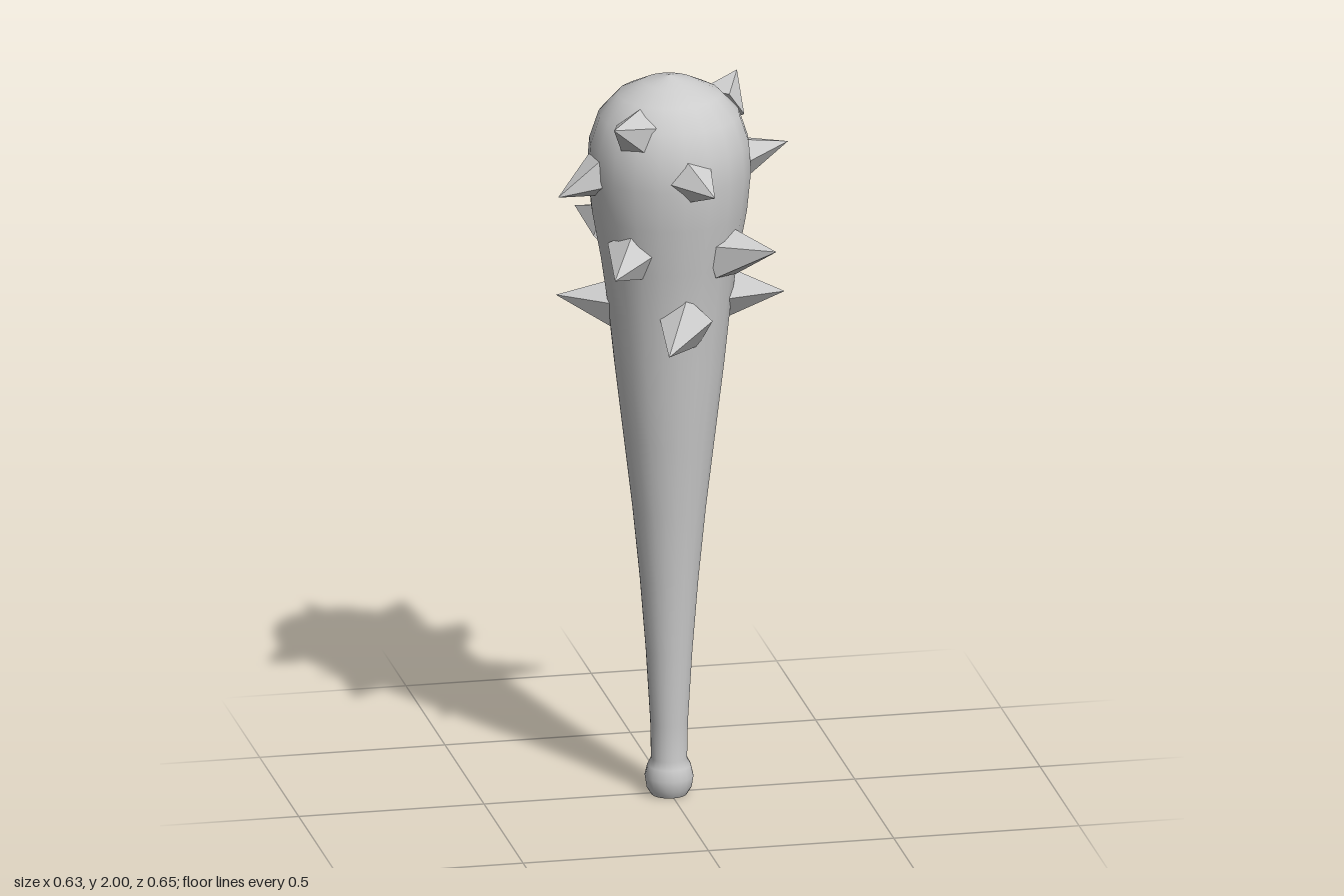
import * as THREE from 'three';

export function createModel() {
  const club = new THREE.Group();
  club.name = 'spikedClub';
  const smooth = new THREE.MeshStandardMaterial({ color: 0xcccccc });
  const faceted = new THREE.MeshStandardMaterial({ color: 0xcccccc, flatShading: true });

  // Turned body: pommel, thin grip, swelling head with rounded top
  const profile = [
    [0.048, 0], [0.06, 0.02], [0.065, 0.05], [0.058, 0.08], [0.048, 0.1], [0.05, 0.2],
    [0.062, 0.4], [0.078, 0.6], [0.098, 0.8], [0.122, 1.0], [0.146, 1.2], [0.163, 1.36],
    [0.183, 1.5], [0.207, 1.63], [0.218, 1.74], [0.212, 1.82], [0.187, 1.895],
    [0.137, 1.95], [0.07, 1.983], [0, 2],
  ].map(([r, y]) => new THREE.Vector2(r, y));
  const body = new THREE.Mesh(new THREE.LatheGeometry(profile, 20), smooth);
  body.name = 'body';
  body.position.set(-0.003, 0, 0.01);
  club.add(body);

  // Flat underside of the pommel
  const base = new THREE.Mesh(new THREE.CircleGeometry(0.048, 20), smooth);
  base.name = 'pommelBase';
  base.rotation.x = Math.PI / 2;
  base.position.copy(body.position);
  club.add(base);

  // Five-sided spikes: [base centre, tip, base radius]
  const spikes = [
    // crown pair
    [[-0.12, 1.885, 0.14], [-0.198, 1.93, 0.23], 0.062],
    [[0.165, 1.885, -0.1], [0.217, 1.942, -0.165], 0.058],
    // upper ring
    [[0.205, 1.77, 0.02], [0.314, 1.8, 0.03], 0.052],
    [[0.025, 1.765, 0.22], [0.055, 1.755, 0.325], 0.055],
    [[-0.21, 1.74, 0.045], [-0.316, 1.7, 0.073], 0.055],
    [[-0.045, 1.765, -0.19], [-0.094, 1.78, -0.33], 0.063],
    // middle ring, on the diagonals
    [[0.135, 1.54, 0.14], [0.237, 1.567, 0.245], 0.07],
    [[-0.135, 1.54, 0.145], [-0.2, 1.518, 0.253], 0.065],
    [[0.14, 1.575, -0.13], [0.24, 1.575, -0.238], 0.07],
    [[-0.13, 1.55, -0.125], [-0.2, 1.56, -0.265], 0.068],
    // lower ring
    [[0.155, 1.39, 0.012], [0.309, 1.376, 0.01], 0.07],
    [[0.0, 1.35, 0.165], [-0.063, 1.31, 0.295], 0.07],
    [[-0.15, 1.365, -0.035], [-0.292, 1.382, -0.067], 0.065],
    [[0.055, 1.36, -0.135], [0.093, 1.36, -0.275], 0.07],
  ];
  const up = new THREE.Vector3(0, 1, 0);
  spikes.forEach(([from, to, radius], i) => {
    const tip = new THREE.Vector3(...to);
    const dir = tip.clone().sub(new THREE.Vector3(...from));
    const visible = dir.length();
    dir.normalize();
    // sink the base a little into the body
    const length = visible + 0.02;
    const cone = new THREE.ConeGeometry(radius * length / visible, length, 5);
    cone.translate(0, -length / 2, 0);
    const spike = new THREE.Mesh(cone, faceted);
    spike.name = 'spike' + (i + 1);
    spike.position.copy(tip);
    spike.quaternion.setFromUnitVectors(up, dir);
    club.add(spike);
  });

  return club;
}
